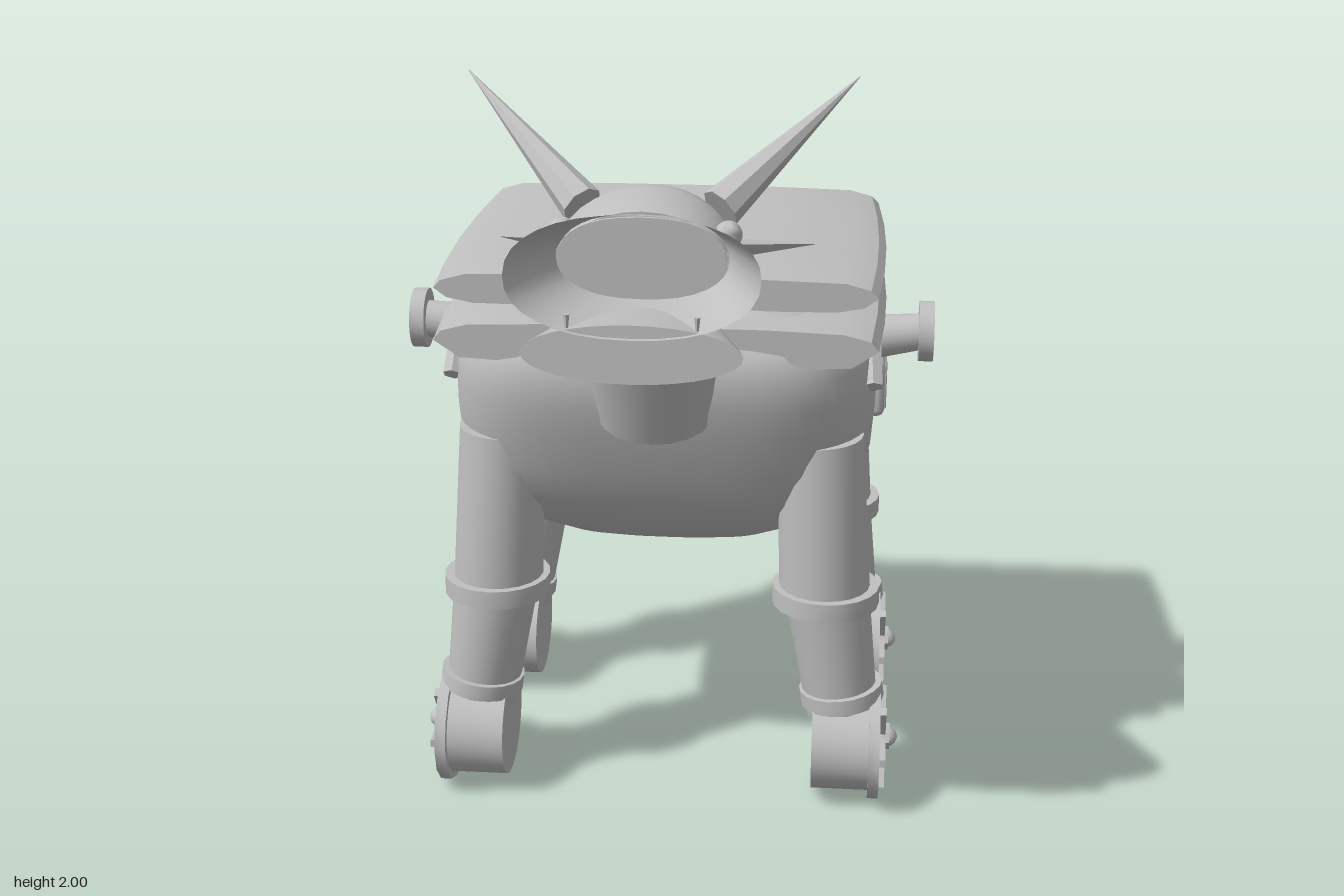
import * as THREE from 'three';
import { toCreasedNormals } from 'three/addons/utils/BufferGeometryUtils.js';
import { RoundedBoxGeometry } from 'three/addons/geometries/RoundedBoxGeometry.js';

const V = (x, y, z) => new THREE.Vector3(x, y, z);

export function createModel() {
  const model = new THREE.Group();
  const grey = new THREE.MeshStandardMaterial({ color: 0xc0c0c0, side: THREE.DoubleSide });
  grey.name = 'plain grey';

  function add(name, geometry, parent = model, crease = 0.7) {
    const mesh = new THREE.Mesh(toCreasedNormals(geometry, crease), grey);
    mesh.name = name;
    parent.add(mesh);
    return mesh;
  }

  // Tapered round bar between two points
  function rod(name, a, b, ra, rb, seg = 20, parent = model) {
    const dir = b.clone().sub(a);
    const mesh = add(name, new THREE.CylinderGeometry(rb, ra, dir.length(), seg), parent);
    mesh.position.copy(a).add(b).multiplyScalar(0.5);
    mesh.quaternion.setFromUnitVectors(V(0, 1, 0), dir.normalize());
    return mesh;
  }

  // Skin over closed cross-section loops, with optional end caps
  function loft(loops, capStart = true, capEnd = true) {
    const n = loops[0].length, pos = [], index = [];
    loops.flat().forEach(p => pos.push(p.x, p.y, p.z));
    for (let i = 0; i < loops.length - 1; i++) {
      for (let j = 0; j < n; j++) {
        const a = i * n + j, b = i * n + (j + 1) % n;
        index.push(a, b, a + n, b, b + n, a + n);
      }
    }
    function cap(loop, start, flip) {
      const c = loop.reduce((s, p) => s.add(p), V(0, 0, 0)).divideScalar(n);
      pos.push(c.x, c.y, c.z);
      const m = pos.length / 3 - 1;
      for (let j = 0; j < n; j++) {
        const a = start + j, b = start + (j + 1) % n;
        index.push(m, flip ? b : a, flip ? a : b);
      }
    }
    if (capStart) cap(loops[0], 0, true);
    if (capEnd) cap(loops[loops.length - 1], (loops.length - 1) * n, false);
    const g = new THREE.BufferGeometry();
    g.setAttribute('position', new THREE.Float32BufferAttribute(pos, 3));
    g.setIndex(index);
    g.computeVertexNormals();
    return g;
  }

  // Rounded-square loop lying flat, and an upright oval loop leaning by dz per unit height
  const round = (c, p) => Math.sign(c) * Math.abs(c) ** p;
  const flatLoop = ([y, hx, zf, zb]) => Array.from({ length: 48 }, (_, j) => {
    const t = j / 48 * Math.PI * 2, e = 2 / 3.8;
    return V(hx * round(Math.sin(t), e), y, (zf + zb) / 2 + (zf - zb) / 2 * round(Math.cos(t), e));
  });
  const ovalLoop = ([z, cy, hx, hy, lean = 0, power = 1]) => Array.from({ length: 32 }, (_, j) => {
    const t = j / 32 * Math.PI * 2, dy = hy * round(Math.sin(t), power);
    return V(hx * round(Math.cos(t), power), cy + dy, z + lean * dy);
  });

  // Body: height, half width, front, back
  add('body', loft([
    [0.68, 0.2, 0.05, -0.28], [0.7, 0.3, 0.09, -0.31], [0.77, 0.42, 0.2, -0.34],
    [0.88, 0.52, 0.3, -0.42], [0.98, 0.56, 0.35, -0.55], [1.1, 0.57, 0.39, -0.65],
    [1.18, 0.57, 0.415, -0.7], [1.26, 0.56, 0.425, -0.67], [1.33, 0.53, 0.41, -0.62],
    [1.39, 0.44, 0.34, -0.5], [1.43, 0.33, 0.25, -0.4], [1.45, 0.2, 0.15, -0.3],
  ].map(flatLoop)), model, 0.9);

  // Two stacked back plates: lens section run front to back, slightly wider in the middle
  function plate(name, half) {
    const pts = [...half, ...half.slice(1, -1).reverse().map(([x, y]) => [-x, y])];
    const shape = new THREE.Shape(pts.map(([x, y]) => new THREE.Vector2(x, y)));
    const g = new THREE.ExtrudeGeometry(shape, { depth: 0.97, steps: 4, bevelEnabled: false });
    const p = g.attributes.position;
    for (let i = 0; i < p.count; i++) {
      const u = p.getZ(i) / 0.97 * 2 - 1;
      p.setX(i, p.getX(i) * (1 - 0.035 * u * u));
    }
    g.translate(0, 0, -0.585);
    add(name, g, model, 0.5);
  }
  plate('upperBackPlate', [[0, 1.465], [0.3, 1.45], [0.48, 1.452], [0.55, 1.465],
    [0.585, 1.49], [0.565, 1.51], [0.5, 1.527], [0.25, 1.533], [0, 1.533]]);
  plate('lowerBackPlate', [[0, 1.345], [0.25, 1.33], [0.42, 1.3], [0.52, 1.305],
    [0.59, 1.35], [0.57, 1.375], [0.5, 1.393], [0.3, 1.4], [0, 1.4]]);

  // Neck and head
  const neck = rod('neck', V(0, 1.16, 0.345), V(0, 1.5, 0.475), 0.155, 0.18);
  neck.scale.z = 0.85;
  add('head', loft([
    [0.345, 1.6, 0.16, 0.145, -0.22], [0.42, 1.605, 0.205, 0.17, -0.12],
    [0.53, 1.612, 0.23, 0.188], [0.66, 1.6, 0.23, 0.172],
  ].map(ovalLoop)));
  add('upperSnout', loft([
    [0.64, 1.66, 0.2, 0.1, 0, 0.85], [0.905, 1.68, 0.295, 0.14, -0.18, 0.9],
  ].map(ovalLoop), false, false));
  add('mouthBack', loft([
    [0.66, 1.66, 0.2, 0.1, 0, 0.85], [0.67, 1.66, 0.2, 0.1, 0, 0.85],
  ].map(ovalLoop)));
  add('lowerJaw', loft([
    [0.62, 1.485, 0.17, 0.062], [0.92, 1.502, 0.257, 0.07, -0.05],
  ].map(ovalLoop)));

  // Tail
  rod('tail', V(0, 1.12, -0.58), V(0, 0.82, -0.87), 0.045, 0.025);
  rod('tailTip', V(0, 0.83, -0.86), V(0, 0.63, -0.935), 0.045, 0.001, 8);

  for (const s of [1, -1]) {
    const side = s > 0 ? 'left' : 'right';

    // Face details
    add(side + 'Eye', new THREE.SphereGeometry(0.034, 16, 12)).position.set(s * 0.2, 1.705, 0.6);
    rod(side + 'Horn', V(s * 0.17, 1.73, 0.45), V(s * 0.5, 2, 0.14), 0.055, 0.001, 8);
    const ear = rod(side + 'Ear', V(s * 0.16, 1.62, 0.42), V(s * 0.4, 1.607, 0.31), 0.06, 0.001, 4);
    ear.scale.x = 0.5;
    rod(side + 'Fang', V(s * 0.15, 1.59, 0.9), V(s * 0.15, 1.53, 0.9), 0.008, 0.001, 6);

    // Side knob
    rod(side + 'KnobShaft', V(s * 0.5, 1.225, -0.11), V(s * 0.69, 1.252, -0.11), 0.065, 0.05);
    rod(side + 'KnobCap', V(s * 0.682, 1.253, -0.11), V(s * 0.722, 1.253, -0.11), 0.083, 0.083, 24);

    // Struts holding the plates
    for (const d of [1, -1]) {
      const z = k => -0.125 + d * k;
      rod(side + 'Strut', V(s * 0.56, 1.19, z(0.315)), V(s * 0.55, 1.33, z(0.19)), 0.028, 0.028, 6);
      rod(side + 'ThinStrut', V(s * 0.56, 1.27, z(0.14)), V(s * 0.55, 1.33, z(0.19)), 0.014, 0.014, 6);
    }

    // Legs with collars and wheels
    for (const [end, zTop, zWheel] of [['Front', 0.215, 0.2], ['Back', -0.44, -0.425]]) {
      const leg = new THREE.Group();
      leg.name = side + end + 'Leg';
      model.add(leg);
      rod('upperLeg', V(s * 0.425, 1.06, zTop), V(s * 0.448, 0.6, zTop), 0.115, 0.123, 20, leg);
      rod('kneeCollar', V(s * 0.45, 0.58, zTop), V(s * 0.45, 0.632, zTop), 0.145, 0.145, 20, leg);
      rod('lowerLeg', V(s * 0.455, 0.6, zTop), V(s * 0.505, 0.25, zTop - 0.005), 0.116, 0.098, 20, leg);
      rod('ankleCollar', V(s * 0.498, 0.332, zTop), V(s * 0.504, 0.288, zTop), 0.115, 0.115, 20, leg);

      const wheel = new THREE.Group();
      wheel.name = 'wheel';
      wheel.position.set(0, 0.165, zWheel);
      wheel.scale.y = 0.85;
      leg.add(wheel);
      rod('tyre', V(s * 0.425, 0, 0), V(s * 0.585, 0, 0), 0.17, 0.17, 28, wheel);
      rod('disc', V(s * 0.58, 0, 0), V(s * 0.61, 0, 0), 0.195, 0.195, 14, wheel);
      for (let k = 0; k < 3; k++) {
        const spoke = add('spoke', new THREE.BoxGeometry(0.03, 0.026, 0.32), wheel);
        spoke.position.x = s * 0.612;
        spoke.rotation.x = k * Math.PI / 3;
      }
      rod('hubNut', V(s * 0.6, 0, 0), V(s * 0.638, 0, 0), 0.045, 0.04, 6, wheel);
      add('hub', new THREE.SphereGeometry(0.034, 12, 8), wheel).position.x = s * 0.626;
    }
  }

  // Small box on one flank
  add('flankBox', new RoundedBoxGeometry(0.06, 0.165, 0.16, 2, 0.02)).position.set(0.565, 1.083, -0.175);
  add('flankBoxFace', new RoundedBoxGeometry(0.02, 0.13, 0.125, 1, 0.008)).position.set(0.59, 1.083, -0.175);

  return model;
}
